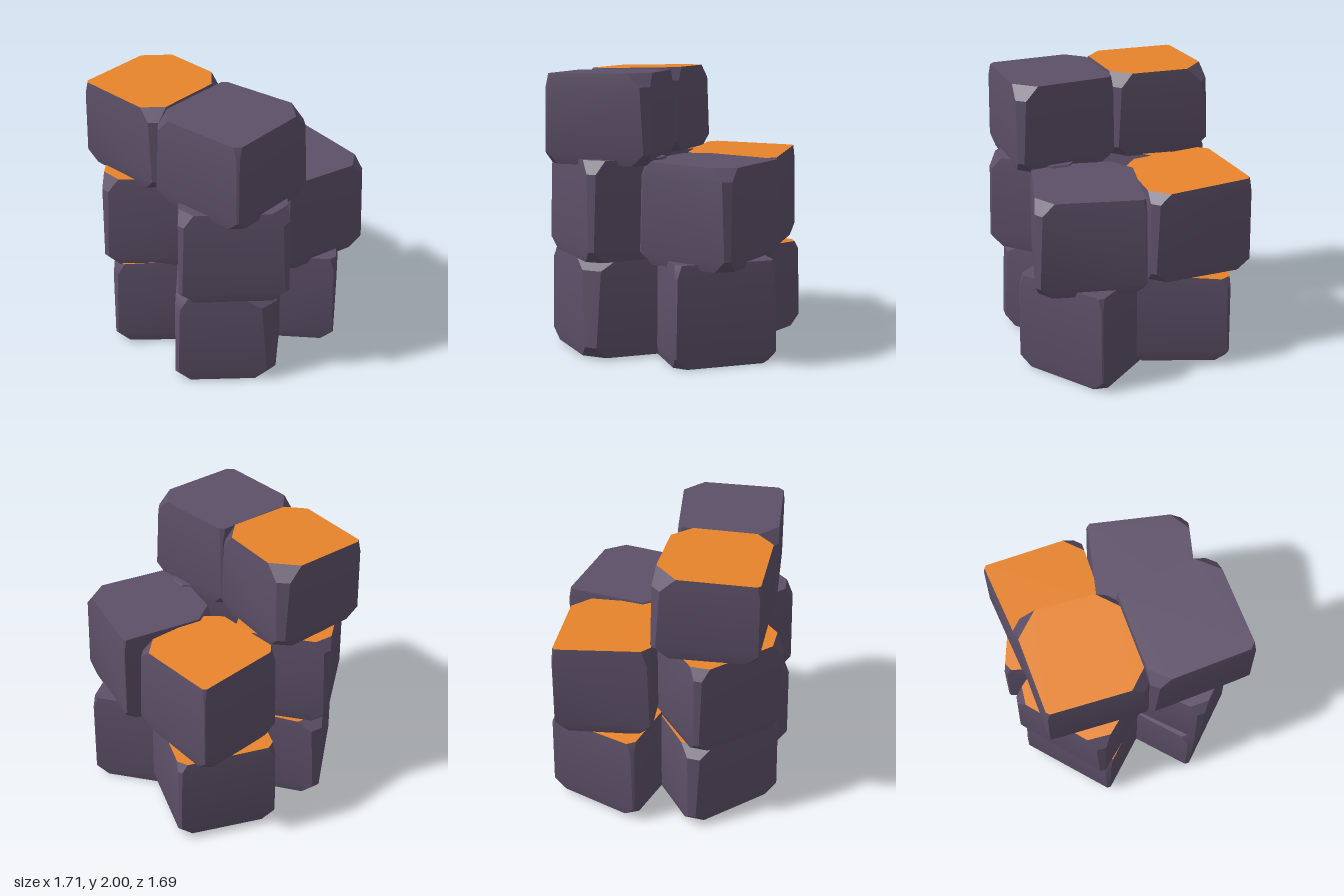
import * as THREE from 'three';
import { ConvexGeometry } from 'three/addons/geometries/ConvexGeometry.js';
import { toCreasedNormals } from 'three/addons/utils/BufferGeometryUtils.js';

const stone = new THREE.MeshStandardMaterial({ color: 0x5d5068 });
stone.name = 'purple stone';
const orange = new THREE.MeshStandardMaterial({ color: 0xf0892d });
orange.name = 'orange top';

// Cross-section at height y: four corners, each cut off, scaled about the middle and tilted
function ring(corners, cuts, scale, y, [tiltX, tiltZ] = [0, 0]) {
  const pts = corners.map(([x, z]) => new THREE.Vector3(x, y, z));
  const mid = new THREE.Vector3();
  pts.forEach((p) => mid.addScaledVector(p, 0.25));
  const out = [];
  pts.forEach((p, i) => {
    for (const q of [pts[(i + 3) % 4], pts[(i + 1) % 4]]) {
      const dir = q.clone().sub(p).normalize();
      const v = p.clone().addScaledVector(dir, cuts[i]).sub(mid).multiplyScalar(scale);
      v.y = tiltX * v.x + tiltZ * v.z;
      out.push(v.add(mid));
    }
  });
  return out;
}

// Roughly hewn block; corners run round the plan, cuts are per top corner,
// tilt is the slope of the top face along x and z
function block(name, y0, y1, corners, cuts, tilt, painted) {
  const low = cuts.map((c) => c * 0.25);
  const high = cuts.map((c) => c * 0.4);
  const geo = toCreasedNormals(new ConvexGeometry([
    ...ring(corners, low.map((c) => c + 0.07), 0.95, y0),
    ...ring(corners, low, 1, y0 + 0.08),
    ...ring(corners, high, 0.985, y1 - 0.09),
    ...ring(corners, cuts, 0.965, y1, tilt),
  ]), 0.45);

  // Upward faces take the top colour
  const pos = geo.attributes.position;
  const tri = new THREE.Triangle();
  const normal = new THREE.Vector3();
  for (let i = 0; i < pos.count; i += 3) {
    tri.setFromAttributeAndIndices(pos, i, i + 1, i + 2);
    tri.getNormal(normal);
    geo.addGroup(i, 3, painted && normal.y > 0.8 ? 1 : 0);
  }
  const mesh = new THREE.Mesh(geo, [stone, orange]);
  mesh.name = name;
  return mesh;
}

export function createModel() {
  const group = new THREE.Group();
  group.name = 'blockPile';
  group.add(
    // Bottom layer
    block('bottomBackRightBlock', 0.02, 0.7,
      [[-0.84, -0.36], [-0.26, -0.86], [0.12, -0.33], [-0.4, 0.12]], [0.08, 0.17, 0.08, 0.08], [0, 0.07], true),
    block('bottomBackLeftBlock', 0.03, 0.71,
      [[0.15, -0.85], [0.81, -0.58], [0.56, 0.1], [-0.1, -0.18]], [0.05, 0.06, 0.06, 0.08], [-0.05, 0.05], true),
    block('bottomFrontLeftBlock', 0, 0.72,
      [[0.45, -0.13], [0.86, 0.4], [0.26, 0.82], [-0.12, 0.3]], [0.08, 0.03, 0.04, 0.1], [0, 0], false),
    block('bottomFrontRightBlock', 0.01, 0.72,
      [[-0.42, -0.12], [0.13, 0.42], [-0.38, 0.79], [-0.87, 0.28]], [0.08, 0.06, 0.24, 0.09], [0, 0], false),

    // Middle layer
    block('middleBackRightBlock', 0.69, 1.39,
      [[-0.86, -0.41], [-0.29, -0.87], [0.13, -0.32], [-0.42, 0.12]], [0.12, 0.1, 0.05, 0.1], [-0.02, 0.03], true),
    block('middleBackLeftBlock', 0.7, 1.38,
      [[0.04, -0.71], [0.72, -0.76], [0.73, -0.01], [0.04, -0.03]], [0.06, 0.02, 0.13, 0.1], [-0.03, -0.05], true),
    block('middleFrontLeftBlock', 0.68, 1.38,
      [[0.08, -0.11], [0.79, 0.05], [0.62, 0.79], [-0.07, 0.61]], [0.14, 0.02, 0.13, 0.07], [-0.02, 0], false),
    block('middleFrontRightBlock', 0.7, 1.4,
      [[-0.4, -0.12], [0.12, 0.41], [-0.33, 0.86], [-0.86, 0.32]], [0.09, 0.09, 0.12, 0.1], [0, 0], false),

    // Top layer
    block('topBackRightBlock', 1.38, 1.99,
      [[-0.68, -0.72], [0.05, -0.73], [0.0, -0.01], [-0.72, -0.01]], [0.02, 0.17, 0.13, 0.13], [0.02, 0], true),
    block('topFrontRightBlock', 1.36, 1.98,
      [[-0.73, -0.02], [-0.02, -0.02], [0.04, 0.71], [-0.71, 0.72]], [0.13, 0.03, 0.15, 0.04], [0.01, 0], false),
  );
  return group;
}
